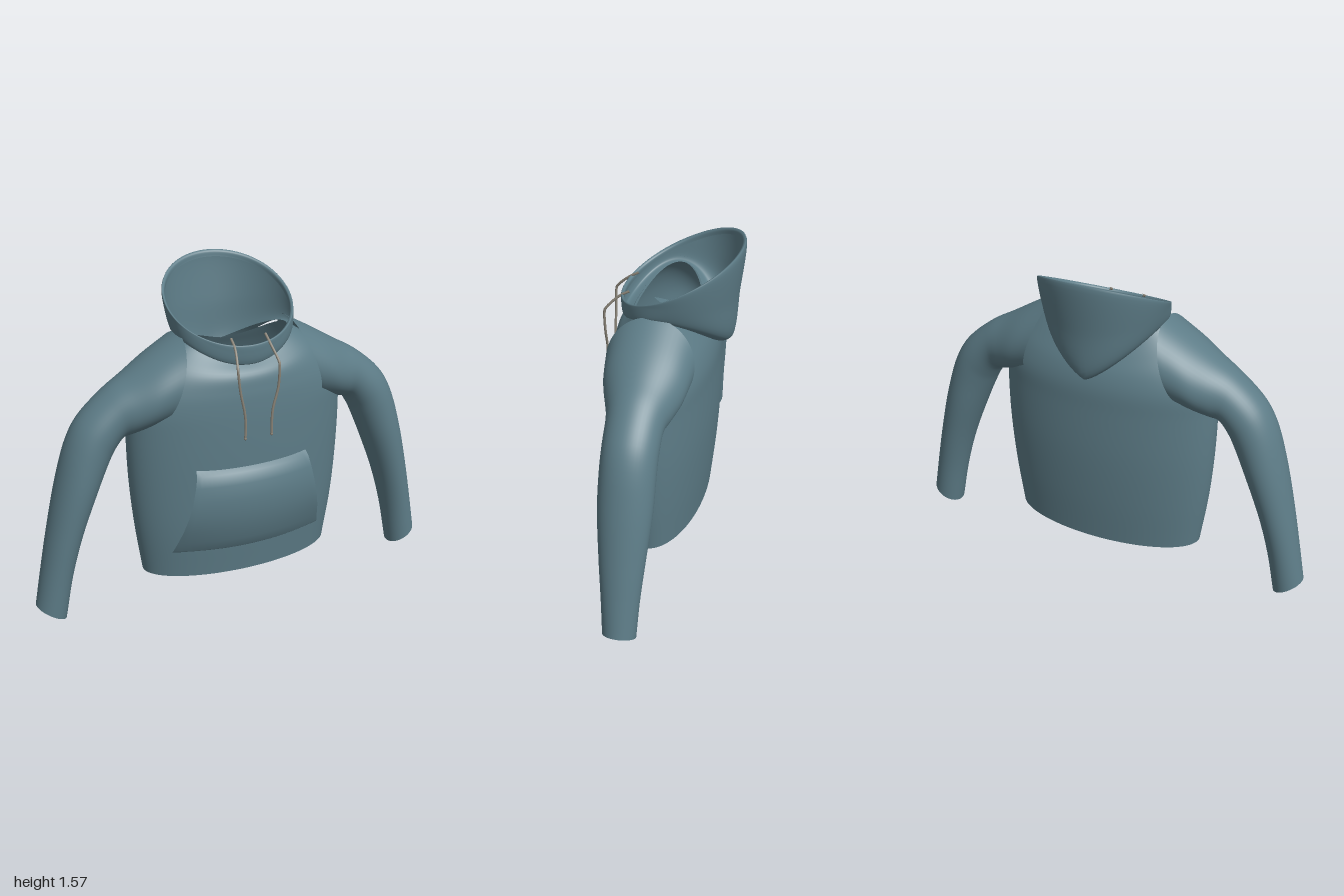
import * as THREE from 'three';

const V = (x, y, z) => new THREE.Vector3(x, y, z);

// Smooth skin through a list of rings; each ring is a function of the angle.
function loft(rings, steps, seg = 64) {
  const pos = [], idx = [];
  const lines = [];
  for (let j = 0; j < seg; j++) {
    const t = (j / seg) * Math.PI * 2;
    lines.push(new THREE.CatmullRomCurve3(rings.map((r) => r(t)), false, 'centripetal'));
  }
  for (let i = 0; i <= steps; i++)
    for (let j = 0; j < seg; j++) pos.push(...lines[j].getPoint(i / steps).toArray());
  for (let i = 0; i < steps; i++)
    for (let j = 0; j < seg; j++) {
      const k = (j + 1) % seg;
      const a = i * seg + j, b = i * seg + k, c = a + seg, d = b + seg;
      idx.push(a, c, b, b, c, d);
    }
  return surface(pos, idx);
}

function surface(pos, idx) {
  const g = new THREE.BufferGeometry();
  g.setAttribute('position', new THREE.Float32BufferAttribute(pos, 3));
  g.setIndex(idx);
  g.computeVertexNormals();
  return g;
}

// Level ring with its own front and back depth; height is a function of the angle.
const ring = (w, zf, zb, y, zc = (zf + zb) / 2) => (t) => {
  const s = Math.sin(t);
  return V(w * Math.cos(t), y(t), zc + s * (s > 0 ? zf - zc : zc - zb));
};

// Height that is `side` at the shoulders and falls to `front` and `back`.
const saddle = (side, front, back, p = 1.2) => (t) => {
  const c = Math.abs(Math.cos(t));
  return Math.sin(t) > 0
    ? front + (side - front) * c * c
    : back + (side - back) * Math.pow(c, p);
};

export function createModel() {
  const model = new THREE.Group();
  const cloth = new THREE.MeshStandardMaterial({ color: 0x5d7c87, side: THREE.DoubleSide });
  cloth.name = 'slate blue cloth';
  const cord = new THREE.MeshStandardMaterial({ color: 0x8a8478 });
  cord.name = 'grey cord';
  const add = (name, geo, mat = cloth) => {
    const m = new THREE.Mesh(geo, mat);
    m.name = name;
    model.add(m);
  };

  // Torso: height, half width, front z, back z, drop at front and back
  const torso = [
    [0.15, 0.47, 0.22, -0.16, 0],
    [0.4, 0.505, 0.25, -0.185, 0],
    [0.65, 0.525, 0.262, -0.2, 0],
    [0.88, 0.53, 0.265, -0.2, 0],
    [1.0, 0.525, 0.262, -0.197, 0],
    [1.1, 0.48, 0.255, -0.178, 0.02],
    [1.2, 0.39, 0.238, -0.145, 0.05],
    [1.29, 0.265, 0.185, -0.115, 0.09],
  ].map(([y, w, zf, zb, d]) => ring(w, zf, zb, saddle(y, y - d, y - d, 2)));
  add('torso', loft(torso, 42, 80));

  // Sleeves: top x, y, underside x, y, half depth
  const sleeve = [
    [0.27, 1.315, 0.4, 0.92, 0.2],
    [0.4, 1.24, 0.48, 0.9, 0.183],
    [0.52, 1.165, 0.53, 0.885, 0.153],
    [0.62, 1.105, 0.56, 0.875, 0.13],
    [0.75, 0.99, 0.6, 0.82, 0.125],
    [0.81, 0.89, 0.63, 0.76, 0.125],
    [0.87, 0.7, 0.69, 0.62, 0.123],
    [0.93, 0.44, 0.765, 0.42, 0.105],
    [0.97, 0.24, 0.82, 0.22, 0.088],
    [1.0, 0.08, 0.862, 0.0, 0.077],
  ];
  for (const side of [1, -1]) {
    const rings = sleeve.map(([ax, ay, bx, by, h]) => (t) => {
      const k = (1 + Math.cos(t)) / 2;
      return V(side * (bx + (ax - bx) * k), by + (ay - by) * k, 0.03 - side * h * Math.sin(t));
    });
    add(side > 0 ? 'leftSleeve' : 'rightSleeve', loft(rings, 45, 48));
  }

  // Hood: neck seam, folded underside, outer wall, sloped rim and inner hem
  const rimY = (drop) => (t) => {
    const z = -0.04 + 0.275 * Math.sin(t);
    return 1.29 - drop + ((0.235 - z) / 0.545) * 0.275;
  };
  const hood = [
    ring(0.26, 0.175, -0.12, saddle(1.29, 1.2, 1.2)),
    ring(0.272, 0.222, -0.2, saddle(1.295, 1.195, 1.065), 0.03),
    ring(0.282, 0.23, -0.262, saddle(1.31, 1.21, 1.085), 0.02),
    ring(0.295, 0.236, -0.293, saddle(1.375, 1.25, 1.32, 1.6), -0.015),
    ring(0.3, 0.235, -0.312, rimY(0), -0.04),
    ring(0.29, 0.223, -0.3, rimY(0.006), -0.04),
    ring(0.288, 0.222, -0.295, rimY(0.03), -0.04),
  ];
  add('hood', loft(hood, 48, 80));

  // Front pocket: height, half width, centre z, curve back at the sides
  const rows = [
    [0.29, 0.375, 0.238, 0.07],
    [0.3, 0.373, 0.252, 0.075],
    [0.35, 0.36, 0.272, 0.07],
    [0.42, 0.344, 0.296, 0.06],
    [0.5, 0.325, 0.311, 0.05],
    [0.58, 0.306, 0.315, 0.045],
    [0.65, 0.291, 0.305, 0.04],
    [0.7, 0.28, 0.285, 0.032],
    [0.725, 0.274, 0.25, 0.022],
  ];
  const pos = [], idx = [], n = 24;
  rows.forEach(([y, w, z, k], i) => {
    for (let j = 0; j <= n; j++) {
      const u = (j / n) * 2 - 1;
      pos.push(w * u, y, z - k * u * u);
      if (i < rows.length - 1 && j < n) {
        const a = i * (n + 1) + j, c = a + n + 1;
        idx.push(a, a + 1, c, a + 1, c + 1, c);
      }
    }
  });
  add('frontPocket', surface(pos, idx));

  // Drawstrings hanging from the hood rim
  const cords = {
    leftDrawstring: [0.083, 0.085, 0.1, 0.1, 0.095, 0.07, 0.065, 0.065],
    rightDrawstring: [-0.083, -0.085, -0.1, -0.1, -0.088, -0.068, -0.063, -0.065],
  };
  const cordY = [1.315, 1.285, 1.215, 1.195, 1.1, 1.0, 0.94, 0.875];
  const cordZ = [0.185, 0.232, 0.297, 0.301, 0.301, 0.301, 0.301, 0.301];
  for (const [name, xs] of Object.entries(cords)) {
    const path = new THREE.CatmullRomCurve3(xs.map((x, i) => V(x, cordY[i], cordZ[i])), false, 'centripetal');
    add(name, new THREE.TubeGeometry(path, 48, 0.006, 8), cord);
    const tip = new THREE.SphereGeometry(0.007, 10, 8);
    tip.translate(xs[7], cordY[7], cordZ[7]);
    add(name + 'Tip', tip, cord);
  }
  return model;
}
